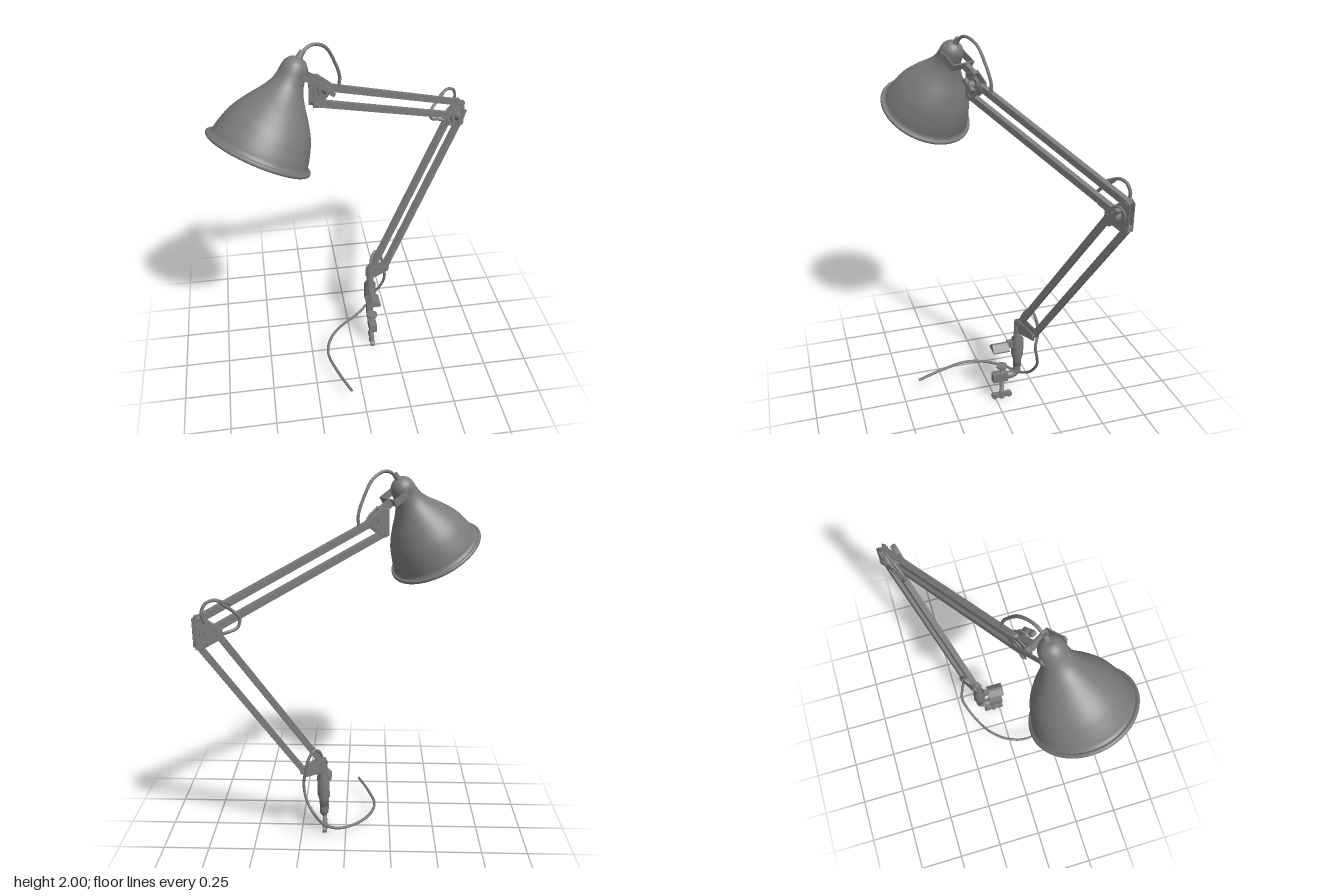
import * as THREE from 'three';

const grey = new THREE.MeshStandardMaterial({ color: 0x7a7a7a });
const thin = new THREE.MeshStandardMaterial({ color: 0x7a7a7a, side: THREE.DoubleSide });

function add(parent, name, geometry, x = 0, y = 0, z = 0, material = grey) {
  const mesh = new THREE.Mesh(geometry, material);
  mesh.name = name;
  mesh.position.set(x, y, z);
  parent.add(mesh);
  return mesh;
}
const box = (w, h, d) => new THREE.BoxGeometry(w, h, d);
const cyl = (r1, r2, h, n = 28) => new THREE.CylinderGeometry(r1, r2, h, n);
const discZ = (r1, r2, h, n) => cyl(r1, r2, h, n).rotateX(Math.PI / 2);
const v2 = (pts) => pts.map(([x, y]) => new THREE.Vector2(x, y));

// Smooth cable through a few points
function cable(parent, name, pts) {
  const curve = new THREE.CatmullRomCurve3(pts.map((p) => new THREE.Vector3(...p)));
  add(parent, name, new THREE.TubeGeometry(curve, pts.length * 10, 0.008, 8), 0, 0, 0, thin);
}

// Square bar between two points of the arm plane
function bar(parent, name, [x1, y1], [x2, y2]) {
  const len = Math.hypot(x2 - x1, y2 - y1);
  const m = add(parent, name, box(len, 0.032, 0.032), (x1 + x2) / 2, (y1 + y2) / 2);
  m.rotation.z = Math.atan2(y2 - y1, x2 - x1);
}

// Pair of outline plates either side of the bars
function plates(parent, name, outline) {
  const geo = new THREE.ExtrudeGeometry(new THREE.Shape(v2(outline)), {
    depth: 0.004, bevelEnabled: true, bevelSize: 0.003, bevelThickness: 0.001, bevelSegments: 1,
  });
  for (const z of [-0.021, 0.017]) add(parent, name, geo, 0, 0, z);
}

// Pivot pin with a head on both sides
function pin(parent, [x, y]) {
  add(parent, 'pivotPin', discZ(0.013, 0.013, 0.054, 16), x, y, 0);
}

// Tension knob: washer, hub and wing at the front, washer and nut at the back
function knob(parent, x, y, r, tilt) {
  const g = new THREE.Group();
  g.name = 'tensionKnob';
  g.position.set(x, y, 0);
  parent.add(g);
  add(g, 'knobWasher', discZ(r, r, 0.01), 0, 0, 0.027);
  add(g, 'knobHub', discZ(r * 0.45, r * 0.6, 0.035), 0, 0, 0.046);
  add(g, 'knobWing', box(r * 2.1, 0.02, 0.026), 0, 0, 0.056).rotation.z = tilt;
  add(g, 'backWasher', discZ(r * 0.9, r * 0.9, 0.006), 0, 0, -0.025);
  add(g, 'backNut', discZ(r * 0.45, r * 0.45, 0.01, 6), 0, 0, -0.031);
}

function makeShade() {
  const g = new THREE.Group();
  g.name = 'lampHead';
  // Bell running smoothly into the domed neck
  const profile = [[0.25, 0], [0.234, 0.018], [0.228, 0.045], [0.217, 0.085], [0.195, 0.145], [0.153, 0.215],
    [0.106, 0.28], [0.077, 0.33], [0.066, 0.37], [0.062, 0.405], [0.055, 0.432], [0.038, 0.453], [0.018, 0.463], [0, 0.465]];
  const curve = new THREE.SplineCurve(v2(profile));
  add(g, 'shade', new THREE.LatheGeometry(curve.getPoints(56), 64), 0, 0, 0, thin);
  add(g, 'shadeRim', new THREE.TorusGeometry(0.245, 0.011, 10, 64).rotateX(Math.PI / 2));
  add(g, 'cableGrommet', cyl(0.011, 0.018, 0.04, 16), 0, 0.475, 0);
  add(g, 'socket', cyl(0.035, 0.04, 0.17), 0, 0.28, 0);
  const bulb = new THREE.SplineCurve(v2([[0, 0.02], [0.04, 0.032], [0.066, 0.085], [0.05, 0.14], [0.032, 0.2]]));
  add(g, 'bulb', new THREE.LatheGeometry(bulb.getPoints(24), 32), 0, 0, 0, thin);

  // U-shaped strap holding the neck
  add(g, 'strapBack', box(0.008, 0.036, 0.14), 0.1, 0.398, 0);
  for (const s of [-1, 1]) {
    add(g, 'strapSide', box(0.112, 0.036, 0.006), 0.046, 0.398, 0.069 * s);
    add(g, 'strapRivet', discZ(0.013, 0.013, 0.01, 16), 0, 0.398, 0.072 * s);
  }
  return g;
}

function makeArm() {
  const arm = new THREE.Group();
  arm.name = 'arm';
  arm.position.set(0.12, 0, -0.135);
  arm.rotation.y = 0.515;

  // Parallel bars of both arm sections
  const lowA = [0.01, 0.49], lowB = [0.11, 0.455], lowC = [0.54, 1.3], lowD = [0.64, 1.265];
  const upA = [-0.285, 1.755], upB = [-0.355, 1.695], upC = [0.63, 1.385], upD = [0.555, 1.33];
  bar(arm, 'lowerArmBar', lowA, lowC);
  bar(arm, 'lowerArmBar', lowB, lowD);
  bar(arm, 'upperArmBar', upA, upC);
  bar(arm, 'upperArmBar', upB, upD);
  [lowA, lowB, lowC, lowD, upA, upB, upC, upD].forEach((p) => pin(arm, p));

  // Joint plates
  plates(arm, 'basePlate', [[-0.012, 0.435], [0.122, 0.435], [0.128, 0.465], [0.03, 0.505], [0.005, 0.512], [-0.015, 0.495]]);
  plates(arm, 'elbowPlate', [[0.525, 1.285], [0.625, 1.247], [0.652, 1.25], [0.652, 1.385], [0.635, 1.402], [0.61, 1.393], [0.525, 1.325]]);
  plates(arm, 'headPlate', [[-0.372, 1.685], [-0.345, 1.678], [-0.26, 1.745], [-0.27, 1.775], [-0.325, 1.825], [-0.368, 1.815]]);
  knob(arm, 0.595, 1.325, 0.046, 1.1);
  knob(arm, -0.315, 1.765, 0.038, 2.4);

  // Link from the head joint to the shade strap
  add(arm, 'headLink', box(0.085, 0.034, 0.03), -0.362, 1.825).rotation.z = -0.55;

  const head = makeShade();
  head.position.set(-0.686, 1.56, 0.02);
  head.rotation.z = -0.555;
  arm.add(head);

  // Cable loops over the joints
  cable(arm, 'headCable', [[-0.435, 1.95, 0.02], [-0.405, 1.985, 0.02], [-0.36, 1.993, 0.02], [-0.295, 1.96, 0.015],
    [-0.24, 1.87, 0.01], [-0.21, 1.79, 0.005], [-0.212, 1.735, 0]]);
  cable(arm, 'elbowCable', [[0.47, 1.44, -0.008], [0.515, 1.46, -0.03], [0.56, 1.475, -0.03], [0.6, 1.462, -0.028],
    [0.62, 1.42, -0.028], [0.605, 1.37, -0.028]]);
  cable(arm, 'elbowCableReturn', [[0.53, 1.46, -0.03], [0.48, 1.42, -0.03], [0.44, 1.375, -0.03],
    [0.45, 1.33, -0.03], [0.5, 1.31, -0.024], [0.53, 1.3, -0.005]]);
  return arm;
}

function makeClamp() {
  const g = new THREE.Group();
  g.name = 'clamp';
  g.position.x = 0.12;

  // Post with a thicker sleeve, bending forward into the lower jaw
  const sleeve = v2([[0, 0.21], [0.022, 0.21], [0.024, 0.25], [0.034, 0.285], [0.034, 0.385], [0.022, 0.392], [0.019, 0.5], [0, 0.5]]);
  add(g, 'post', new THREE.LatheGeometry(sleeve, 32), 0, 0, -0.127);
  const path = new THREE.CurvePath();
  const P = (y, z) => new THREE.Vector3(0, y, z);
  path.add(new THREE.LineCurve3(P(0.3, -0.127), P(0.2, -0.127)));
  path.add(new THREE.QuadraticBezierCurve3(P(0.2, -0.127), P(0.15, -0.127), P(0.15, -0.08)));
  path.add(new THREE.LineCurve3(P(0.15, -0.08), P(0.15, -0.03)));
  add(g, 'clampElbow', new THREE.TubeGeometry(path, 40, 0.022, 16));
  add(g, 'lowerJaw', box(0.044, 0.052, 0.085), 0, 0.149, -0.024);

  // Upper jaw: roof-shaped pad joined to the post by a narrow neck
  const roof = new THREE.Shape(v2([[-0.041, 0.332], [0.041, 0.332], [0.041, 0.34], [0.007, 0.371], [-0.007, 0.371], [-0.041, 0.34]]));
  add(g, 'upperJaw', new THREE.ExtrudeGeometry(roof, { depth: 0.092, bevelEnabled: false }), 0, 0, -0.07);
  add(g, 'upperJawNeck', box(0.03, 0.04, 0.05), 0, 0.357, -0.09);

  // Threaded screw with pad and wing handle
  const z = -0.037;
  add(g, 'screw', cyl(0.009, 0.009, 0.2, 16), 0, 0.115, z);
  for (let y = 0.045; y < 0.2; y += 0.011) add(g, 'screwThread', cyl(0.009, 0.013, 0.008, 16), 0, y, z);
  add(g, 'screwPad', cyl(0.031, 0.031, 0.01), 0, 0.217, z);
  add(g, 'screwPadNeck', cyl(0.028, 0.012, 0.02), 0, 0.203, z);
  add(g, 'handleHub', cyl(0.014, 0.016, 0.042, 16), 0, 0.021, z);
  for (const s of [-1, 1]) {
    add(g, 'handleWing', box(0.02, 0.027, 0.045), 0, 0.021, z + 0.024 * s);
    add(g, 'handleTip', cyl(0.0165, 0.0165, 0.024, 16).rotateZ(Math.PI / 2), 0, 0.019, z + 0.043 * s);
  }
  return g;
}

export function createModel() {
  const lamp = new THREE.Group();
  lamp.name = 'deskLamp';
  lamp.add(makeArm(), makeClamp());

  // Supply cable looping from the base joint down and forward
  cable(lamp, 'supplyCable', [[0.125, 0.52, -0.145], [0.135, 0.56, -0.165], [0.16, 0.582, -0.185], [0.19, 0.545, -0.205],
    [0.21, 0.46, -0.212], [0.222, 0.38, -0.197], [0.205, 0.29, -0.215], [0.165, 0.215, -0.23], [0.115, 0.14, -0.21],
    [0.04, 0.092, -0.172], [-0.05, 0.08, -0.115], [-0.13, 0.08, -0.02], [-0.165, 0.08, 0.1], [-0.13, 0.08, 0.25],
    [-0.07, 0.08, 0.405]]);
  return lamp;
}
